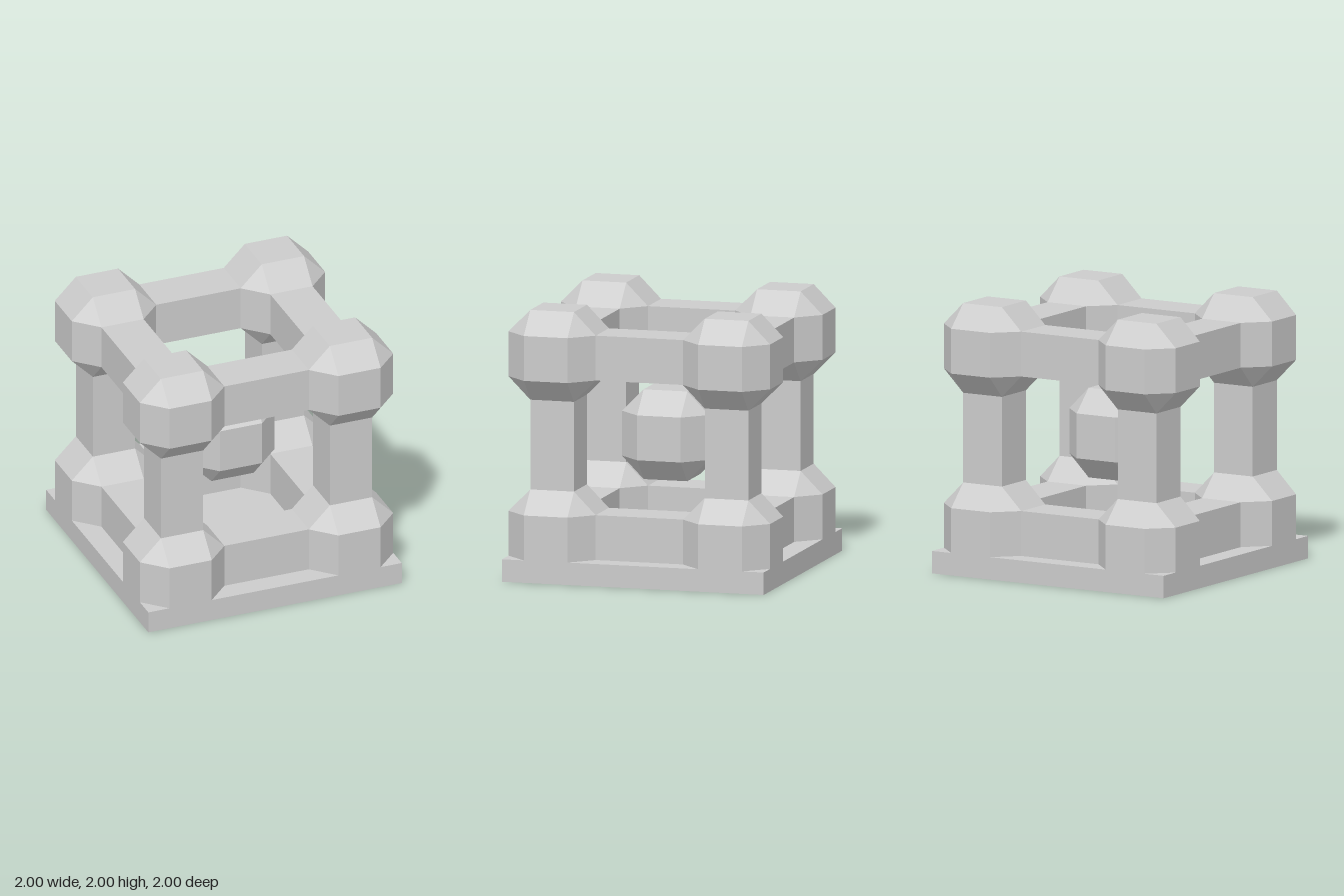
import * as THREE from 'three';
import { ConvexGeometry } from 'three/addons/geometries/ConvexGeometry.js';

const U = 1 / 6; // modular unit: bars are 2U thick, nodes 4U across

export function createModel() {
  const group = new THREE.Group();
  const material = new THREE.MeshStandardMaterial({ color: 0xcccccc, flatShading: true });
  const add = (name, geometry, x, y, z) => {
    const mesh = new THREE.Mesh(geometry, material);
    mesh.name = name;
    mesh.position.set(x, y, z);
    group.add(mesh);
  };

  // Node: a cube with bevelled edges and triangular corners
  const points = [];
  for (const x of [-U, U]) for (const y of [-U, U]) for (const z of [-U, U]) {
    points.push(
      new THREE.Vector3(2 * x, y, z),
      new THREE.Vector3(x, 2 * y, z),
      new THREE.Vector3(x, y, 2 * z)
    );
  }
  const node = new ConvexGeometry(points);

  // Square bars along each axis
  const barX = new THREE.BoxGeometry(4 * U, 2 * U, 2 * U);
  const barY = new THREE.BoxGeometry(2 * U, 4 * U, 2 * U);
  const barZ = new THREE.BoxGeometry(2 * U, 2 * U, 4 * U);

  add('baseSlab', new THREE.BoxGeometry(2, U, 2), 0, U / 2, 0);
  add('centreNode', node, 0, 1, 0);

  // Cube frame: eight corner nodes joined by twelve bars
  const c = 4 * U;
  for (const a of [-c, c]) for (const b of [-c, c]) {
    for (const d of [-c, c]) add('cornerNode', node, a, 1 + b, d);
    add('crossBar', barX, 0, 1 + a, b);
    add('post', barY, a, 1, b);
    add('sideBar', barZ, a, 1 + b, 0);
  }
  return group;
}
